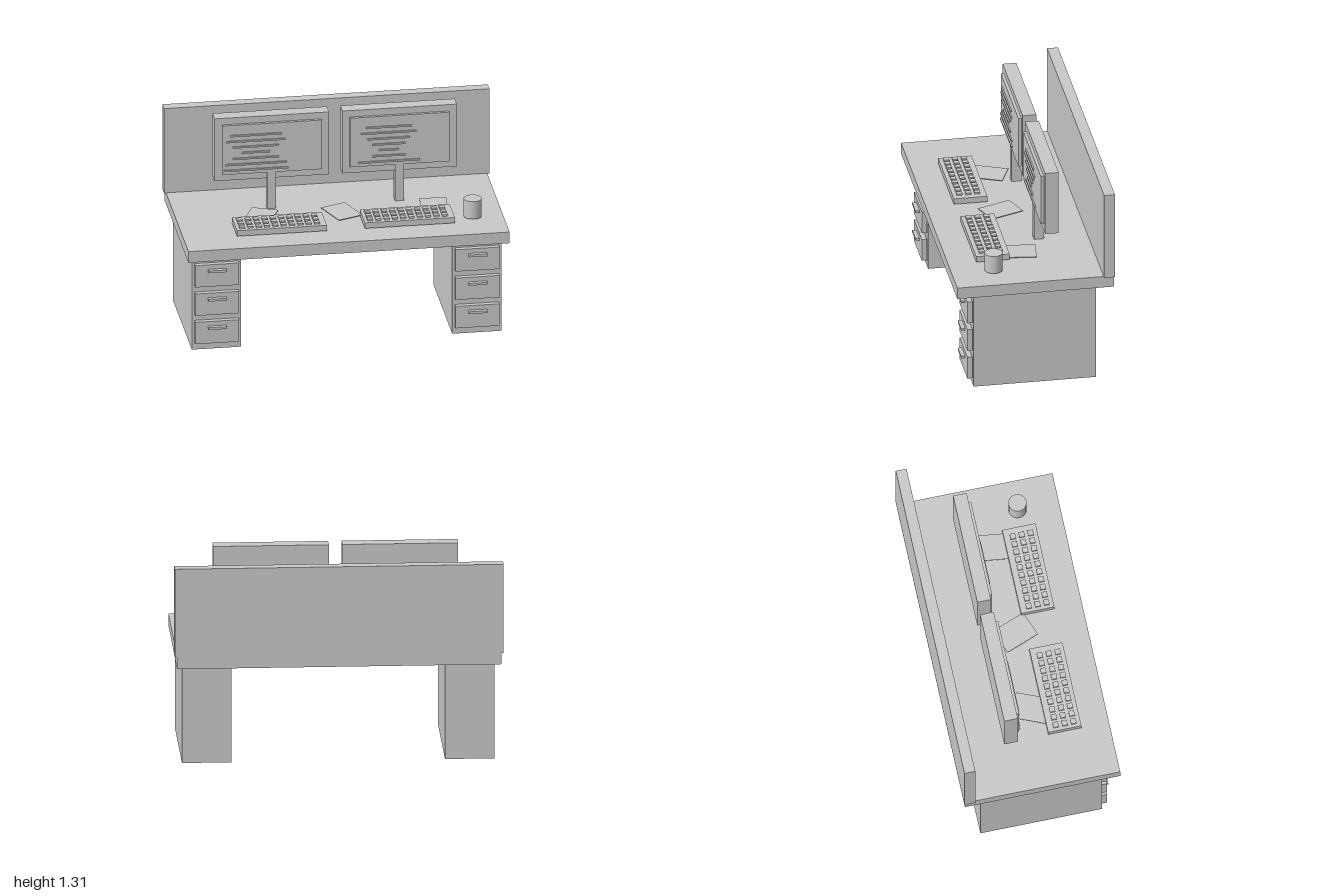
import * as THREE from 'three';

export function createModel() {
  const root = new THREE.Group();
  const grey = new THREE.MeshStandardMaterial({ color: 0xc8c8c8 });
  grey.name = 'light grey';

  const add = (name, geometry, x, y, z, parent = root) => {
    const mesh = new THREE.Mesh(geometry, grey);
    mesh.name = name;
    mesh.position.set(x, y, z);
    parent.add(mesh);
    return mesh;
  };
  // Box given by its lower and upper limits on each axis
  const block = (name, [x0, x1], [y0, y1], [z0, z1], parent = root) =>
    add(name, new THREE.BoxGeometry(x1 - x0, y1 - y0, z1 - z0),
      (x0 + x1) / 2, (y0 + y1) / 2, (z0 + z1) / 2, parent);
  const group = (name, x = 0) => {
    const g = new THREE.Group();
    g.name = name;
    g.position.x = x;
    root.add(g);
    return g;
  };

  // Desk top and rear partition
  block('deskTop', [-0.988, 0.986], [0.624, 0.698], [-0.48, 0.485]);
  block('backPanel', [-1, 1], [0.695, 1.257], [-0.485, -0.418]);

  // Drawer pedestals
  for (const side of [-1, 1]) {
    const pedestal = group(side < 0 ? 'rightPedestal' : 'leftPedestal', side * 0.8);
    block('pedestalBody', [-0.151, 0.151], [0, 0.624], [-0.376, 0.378], pedestal);
    for (let i = 0; i < 3; i++) {
      const y = 0.05 + i * 0.188;
      block('drawerFront', [-0.135, 0.135], [y, y + 0.145], [0.383, 0.414], pedestal);
      block('drawerHandle', [-0.057, 0.057], [y + 0.1, y + 0.115], [0.413, 0.439], pedestal);
    }
  }

  // Monitors with raised lines on the screens
  const monitors = [
    { x: -0.387, lineX: -0.1, widths: [0.32, 0.36, 0.28, 0.17, 0.28, 0.38, 0.4] },
    { x: 0.399, lineX: -0.069, widths: [0.28, 0.34, 0.26, 0.2, 0.12, 0.2, 0.38] },
  ];
  for (const { x, lineX, widths } of monitors) {
    const monitor = group('monitor', x);
    block('monitorCase', [-0.352, 0.352], [0.897, 1.31], [-0.182, -0.098], monitor);
    block('screen', [-0.307, 0.305], [0.942, 1.267], [-0.099, -0.08], monitor);
    block('monitorStand', [-0.029, 0.026], [0.697, 0.95], [-0.147, -0.087], monitor);
    widths.forEach((w, i) => add('screenLine', new THREE.BoxGeometry(w, 0.01, 0.01),
      lineX, 1.197 - i * 0.038, -0.0765, monitor));
  }

  // Keyboards
  const keyGeometry = new THREE.BoxGeometry(0.034, 0.02, 0.034);
  for (const x of [-0.387, 0.399]) {
    const keyboard = group('keyboard', x);
    block('keyboardBase', [-0.276, 0.276], [0.704, 0.741], [0.107, 0.313], keyboard);
    for (let row = 0; row < 3; row++) {
      for (let col = 0; col < 10; col++) {
        add('key', keyGeometry, -0.239 + col * 0.051, 0.742, 0.161 + row * 0.055, keyboard);
      }
    }
  }

  // Loose paper sheets
  for (const [x, z, turn] of [[-0.477, 0.041, -0.4], [0.021, 0.049, 0.365], [0.587, 0.041, -0.12]]) {
    add('paperSheet', new THREE.BoxGeometry(0.165, 0.004, 0.22), x, 0.71, z).rotation.y = turn;
  }

  // Cup
  add('cup', new THREE.CylinderGeometry(0.055, 0.055, 0.116, 32), 0.798, 0.766, 0.228);

  return root;
}
